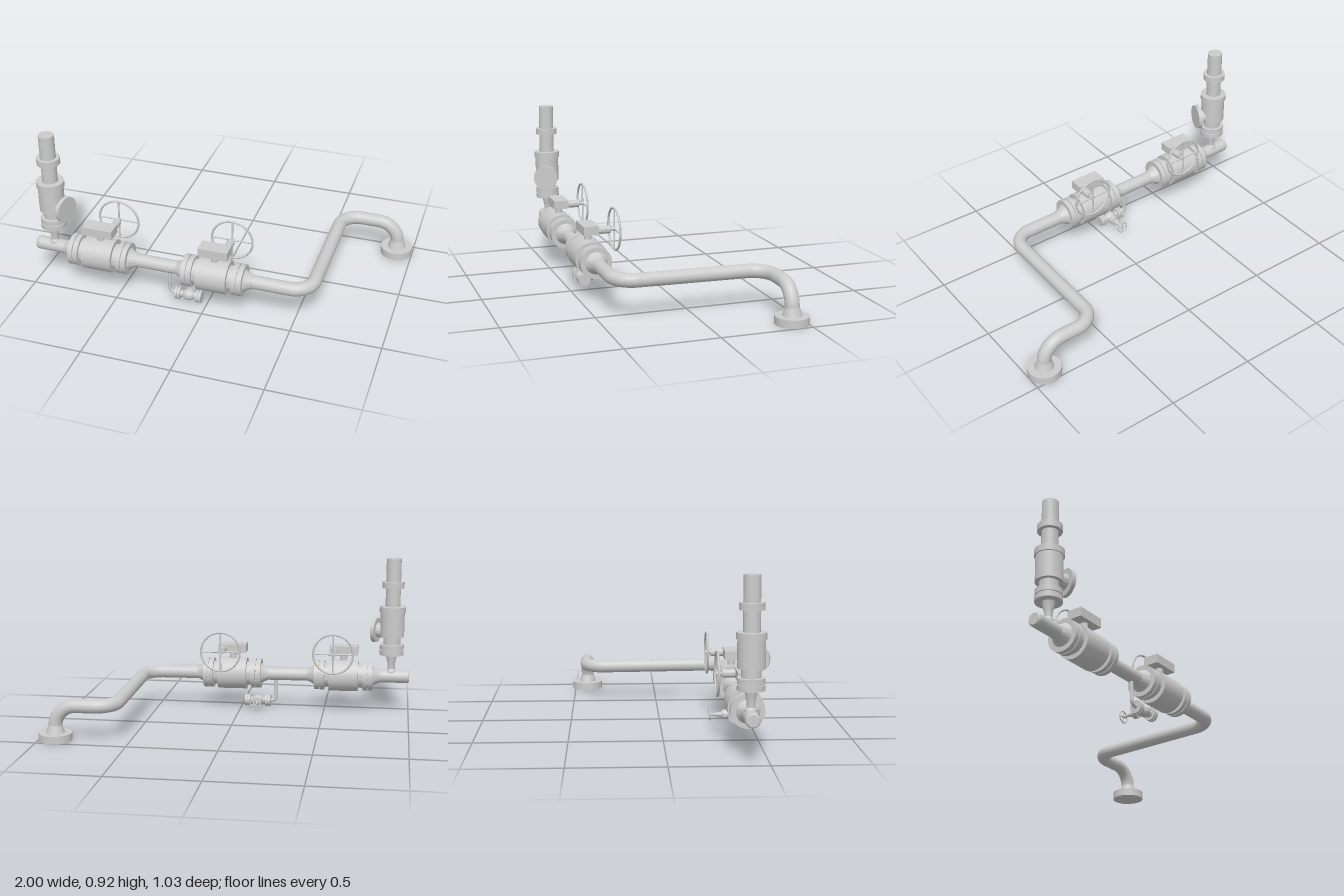
import * as THREE from 'three';
import { toCreasedNormals } from 'three/addons/utils/BufferGeometryUtils.js';

const material = new THREE.MeshStandardMaterial({ color: 0xcccccc });
const V = (x, y, z) => new THREE.Vector3(x, y, z);
const LINE_Z = 0.411;
const lineY = (x) => 0.222 - 0.0095 * (x + 1); // the main run falls slightly

function add(parent, name, geometry, x = 0, y = 0, z = 0) {
  const mesh = new THREE.Mesh(geometry, material);
  mesh.name = name;
  mesh.position.set(x, y, z);
  parent.add(mesh);
  return mesh;
}

// Closed solid of revolution from [radius, height] pairs, turned to the given axis
function turned(profile, axis = V(0, 1, 0), sides = 40) {
  const pts = [[0, profile[0][1]], ...profile, [0, profile[profile.length - 1][1]]];
  const lathe = new THREE.LatheGeometry(pts.map(([r, h]) => new THREE.Vector2(r, h)), sides);
  const geometry = toCreasedNormals(lathe, 0.45);
  const turn = new THREE.Quaternion().setFromUnitVectors(V(0, 1, 0), axis.clone().normalize());
  return geometry.applyQuaternion(turn);
}

// Pipe along corner points with circular bends
function bentPipe(points, radius, bend, segments, sides) {
  const path = new THREE.CurvePath();
  let from = points[0];
  for (let i = 1; i < points.length - 1; i++) {
    const p = points[i];
    const a = p.clone().add(points[i - 1].clone().sub(p).setLength(bend));
    const b = p.clone().add(points[i + 1].clone().sub(p).setLength(bend));
    path.add(new THREE.LineCurve3(from, a));
    path.add(new THREE.CubicBezierCurve3(a, a.clone().lerp(p, 0.5523), b.clone().lerp(p, 0.5523), b));
    from = b;
  }
  path.add(new THREE.LineCurve3(from, points[points.length - 1]));
  return new THREE.TubeGeometry(path, segments, radius, sides, false);
}

// Spoked wheel facing z
function handwheel(name, radius, tube) {
  const wheel = new THREE.Group();
  wheel.name = name;
  add(wheel, 'rim', new THREE.TorusGeometry(radius - tube, tube, 10, 48));
  for (let i = 0; i < 2; i++) {
    const spoke = add(wheel, 'spoke', new THREE.CylinderGeometry(tube * 0.8, tube * 0.8, 2 * (radius - tube), 10));
    spoke.rotation.z = i * Math.PI / 2;
  }
  add(wheel, 'hub', turned([[tube * 2, -tube], [tube * 2, tube]], V(0, 0, 1), 20));
  return wheel;
}

// Flanged ball valve with gearbox and handwheel, centred on the pipe axis
function mainValve(name, x) {
  const valve = new THREE.Group();
  valve.name = name;
  valve.position.set(x, lineY(x), LINE_Z);
  valve.rotation.z = -0.0095;
  add(valve, 'valveBody', turned([
    [0.07, -0.122], [0.07, -0.086], [0.094, -0.086], [0.094, 0.086], [0.07, 0.086], [0.07, 0.122],
  ], V(1, 0, 0), 48));
  for (const side of [-1, 1]) {
    add(valve, 'flangePair', turned([
      [0.088, 0.113], [0.088, 0.14], [0.078, 0.14], [0.078, 0.145], [0.088, 0.145],
      [0.088, 0.172], [0.062, 0.172], [0.05, 0.188], [0.038, 0.216],
    ], V(side, 0, 0), 48));
    // bolts bridging the gasket gap
    for (let i = 0; i < 8; i++) {
      const a = (i + 0.5) * Math.PI / 4;
      add(valve, 'flangeBolt', turned([[0.006, -0.006], [0.006, 0.006]], V(1, 0, 0), 8),
        side * 0.1425, 0.079 * Math.cos(a), 0.079 * Math.sin(a));
    }
  }
  add(valve, 'stem', turned([[0.02, 0.07], [0.02, 0.14]]));
  add(valve, 'gearbox', new THREE.BoxGeometry(0.166, 0.05, 0.086), 0, 0.156, 0.001);
  add(valve, 'gearShaftHousing', turned([[0.022, 0.03], [0.022, 0.11]], V(0, 0, -1), 28), 0.057, 0.153, 0);
  add(valve, 'gearShaft', turned([[0.01, 0.1], [0.01, 0.138]], V(0, 0, -1), 20), 0.057, 0.153, 0);
  const wheel = handwheel('handwheel', 0.122, 0.006);
  wheel.position.set(0.057, 0.153, -0.135);
  valve.add(wheel);
  return valve;
}

// Upright relief valve on the tee
function reliefValve() {
  const valve = new THREE.Group();
  valve.name = 'reliefValve';
  valve.position.set(-0.893, 0, LINE_Z);
  add(valve, 'teeBranch', turned([
    [0.03, 0.22], [0.03, 0.255], [0.022, 0.268], [0.022, 0.3], [0.034, 0.352],
  ]));
  add(valve, 'inletFlanges', turned([
    [0.07, 0.353], [0.07, 0.382], [0.063, 0.382], [0.063, 0.387], [0.07, 0.387], [0.07, 0.416],
  ]));
  add(valve, 'valveBody', turned([
    [0.05, 0.41], [0.05, 0.462], [0.07, 0.462], [0.07, 0.606], [0.076, 0.606], [0.076, 0.641],
    [0.043, 0.641], [0.043, 0.75], [0.064, 0.75], [0.064, 0.786], [0.043, 0.786], [0.043, 0.922],
  ]));
  add(valve, 'sideOutlet', turned([
    [0.042, 0.03], [0.042, 0.09], [0.073, 0.09], [0.073, 0.112],
  ], V(0.95, 0, 0.31)), 0, 0.492, 0);
  return valve;
}

// Small drain below the run, with its own valve
function drain() {
  const group = new THREE.Group();
  group.name = 'drain';
  const y = 0.048;
  add(group, 'drainPipe', bentPipe(
    [V(-0.213, 0.2, LINE_Z), V(-0.213, y, LINE_Z), V(-0.17, y, LINE_Z)], 0.01, 0.03, 40, 16));
  const half = [
    [0.033, 0.0], [0.031, 0.012], [0.024, 0.024], [0.017, 0.032], [0.02, 0.045], [0.035, 0.045],
    [0.035, 0.058], [0.029, 0.058], [0.029, 0.063], [0.035, 0.063], [0.035, 0.077],
  ];
  const profile = [...half.slice(1).reverse().map(([r, h]) => [r, -h]), ...half];
  add(group, 'drainValveBody', turned(profile, V(1, 0, 0)), -0.103, y, LINE_Z);
  add(group, 'drainValveBonnet', turned([
    [0.018, 0], [0.018, 0.036], [0.027, 0.036], [0.027, 0.064], [0.017, 0.064], [0.006, 0.11], [0.006, 0.138],
  ], V(0, 0, -1), 28), -0.103, y, LINE_Z);
  const wheel = handwheel('drainHandwheel', 0.035, 0.0035);
  wheel.position.set(-0.103, y, 0.277);
  group.add(wheel);
  return group;
}

export function createModel() {
  const model = new THREE.Group();
  model.name = 'pipeAssembly';

  // Main run, across to the back, then down to the floor
  add(model, 'mainPipe', bentPipe([
    V(-0.98, lineY(-0.98), LINE_Z), V(0.58, 0.206, LINE_Z - 0.003), V(0.58, 0.197, -0.425),
    V(0.907, 0.194, -0.425), V(0.907, 0.03, -0.425),
  ], 0.038, 0.113, 260, 32));
  add(model, 'endCap', turned([[0.038, 0], [0.037, 0.012], [0.031, 0.02]], V(-1, 0, 0)),
    -0.98, lineY(-0.98), LINE_Z);
  add(model, 'floorFlange', turned([
    [0.091, 0], [0.091, 0.043], [0.052, 0.043], [0.048, 0.055], [0.038, 0.088],
  ], V(0, 1, 0), 48), 0.908, 0, -0.425);

  model.add(mainValve('leftEndValve', -0.615), mainValve('middleValve', 0.048));
  model.add(reliefValve(), drain());
  return model;
}
